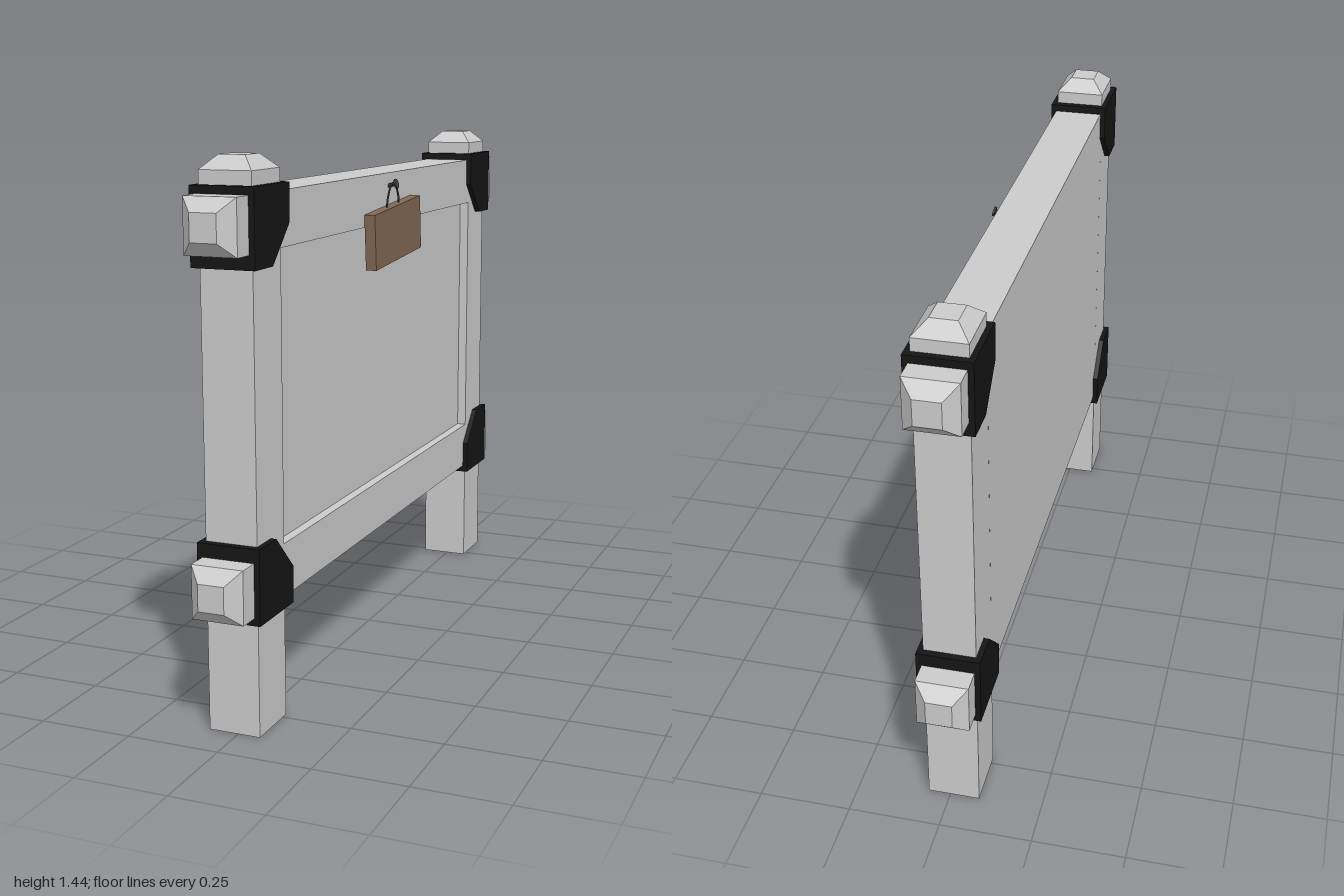
import * as THREE from 'three';

const mat = (color) => new THREE.MeshStandardMaterial({ color, flatShading: true });
const X = -0.01; // centre of the frame's thickness

// Square timber along y; chosen ends taper to a blunt tip
function timber(w, d, y0, y1, taperLow, taperHigh) {
  const tip = 0.035;
  const levels = [
    [y0, taperLow ? 0.5 : 1], [y0 + tip, 1],
    [y1 - tip, 1], [y1, taperHigh ? 0.5 : 1],
  ];
  const g = new THREE.BoxGeometry(w, 3, d, 1, 3, 1);
  const p = g.attributes.position;
  for (let i = 0; i < p.count; i++) {
    const [y, s] = levels[Math.round(p.getY(i) + 1.5)];
    p.setXYZ(i, p.getX(i) * s, y, p.getZ(i) * s);
  }
  g.computeVertexNormals();
  return g;
}

export function createModel() {
  const model = new THREE.Group();
  const grey = mat(0xcccccc);
  const black = mat(0x151515);
  const wood = mat(0x826854);
  const metal = mat(0x444444);

  const add = (name, geometry, material, x, y, z, parent = model) => {
    const mesh = new THREE.Mesh(geometry, material);
    mesh.name = name;
    mesh.position.set(x, y, z);
    parent.add(mesh);
    return mesh;
  };

  // Two upright posts, flat feet and tapered tops
  for (const s of [1, -1]) {
    add(s > 0 ? 'frontPost' : 'backPost', timber(0.14, 0.155, 0, 1.44, false, true), grey, X, 0, s * 0.808);
  }

  // Two cross beams, tapered at both ends
  for (const [name, y] of [['lowerBeam', 0.39], ['upperBeam', 1.28]]) {
    add(name, timber(0.14, 0.14, -1, 1, true, true), grey, X, y, 0).rotation.x = Math.PI / 2;
  }

  // Board, flush at the back and recessed on the +x face
  add('board', new THREE.BoxGeometry(0.113, 0.75, 1.46), grey, -0.0235, 0.835, 0);

  // Corner brackets with the inner corner cut off
  for (const sz of [1, -1]) {
    for (const [sy, y] of [[1, 1.272], [-1, 0.398]]) {
      const pts = [[0.098, 0.098], [-0.098, 0.098], [-0.098, 0], [0, -0.098], [0.098, -0.098]];
      const shape = new THREE.Shape(pts.map(([z, v]) => new THREE.Vector2(-z * sz, v * sy)));
      const g = new THREE.ExtrudeGeometry(shape, { depth: 0.17, bevelEnabled: false });
      g.translate(0, 0, -0.085);
      g.rotateY(Math.PI / 2); // shape x becomes -z
      add('cornerBracket', g, black, X, y, sz * 0.807);
    }
  }

  // Small tilted plaque hanging from a nail
  const plaque = new THREE.Group();
  plaque.name = 'hangingPlaque';
  model.add(plaque);
  add('plaqueBoard', new THREE.BoxGeometry(0.031, 0.155, 0.364), wood, 0.0755, 1.182, -0.002, plaque)
    .rotation.x = 0.08;

  const nail = add('nail', new THREE.CylinderGeometry(0.006, 0.006, 0.04, 8), metal, 0.066, 1.315, 0, plaque);
  nail.rotation.z = -Math.PI / 2 + 0.25;
  const head = add('nailHead', new THREE.CylinderGeometry(0.014, 0.014, 0.006, 8), metal, 0.083, 1.319, 0, plaque);
  head.rotation.z = nail.rotation.z;

  const path = new THREE.CatmullRomCurve3([
    [0.05, 1.25], [0.043, 1.28], [0.024, 1.308], [0, 1.322],
    [-0.022, 1.31], [-0.04, 1.285], [-0.046, 1.255],
  ].map(([z, y]) => new THREE.Vector3(0.074, y, z)));
  add('string', new THREE.TubeGeometry(path, 20, 0.003, 6), metal, 0, 0, 0, plaque);

  return model;
}
